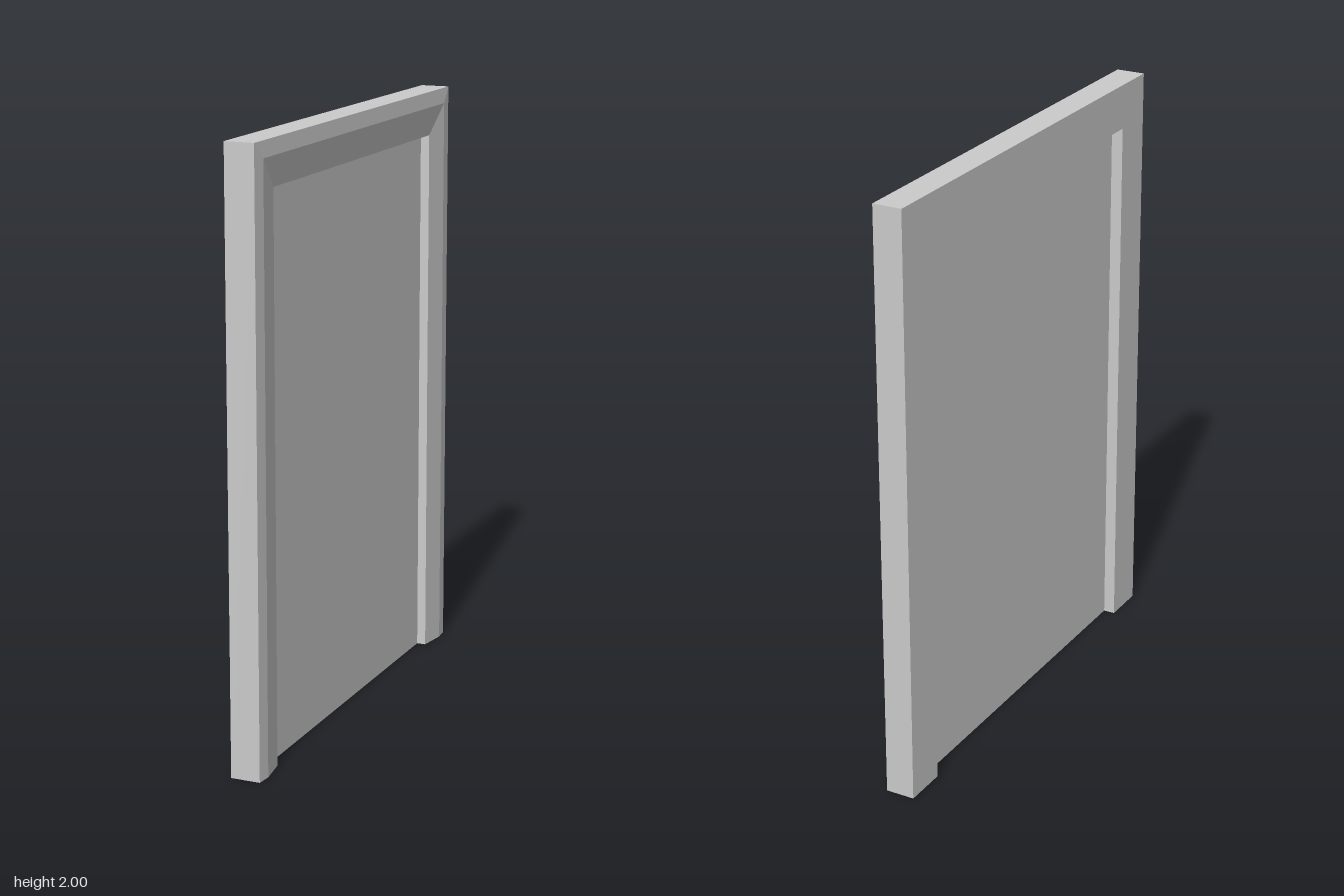
import * as THREE from 'three';

const HALF_WIDTH = 0.783, HEIGHT = 2;
// Moulding section: [inset from the outer edge, x], running outer back to inner back
const SECTION = [[0, -0.052], [0, 0.047], [0.052, 0.052], [0.152, 0.037], [0.152, -0.052]];

// Mitred door frame: the section carried up one jamb, across the head and down the other
function frameGeometry() {
  const stations = [[1, 0], [1, 1], [-1, 1], [-1, 0]];
  const rings = stations.map(([side, top]) => SECTION.map(([d, x]) =>
    [x, top ? HEIGHT - d : 0, side * (HALF_WIDTH - d)]));
  const n = SECTION.length;
  const positions = [];
  const tri = (a, b, c) => positions.push(...a, ...b, ...c);

  for (let i = 0; i < rings.length - 1; i++) {
    for (let j = 0; j < n; j++) {
      const k = (j + 1) % n;
      tri(rings[i][j], rings[i][k], rings[i + 1][k]);
      tri(rings[i][j], rings[i + 1][k], rings[i + 1][j]);
    }
  }
  // Feet of the two jambs
  const first = rings[0], last = rings[rings.length - 1];
  for (let j = 1; j < n - 1; j++) {
    tri(first[0], first[j + 1], first[j]);
    tri(last[0], last[j], last[j + 1]);
  }
  const geometry = new THREE.BufferGeometry();
  geometry.setAttribute('position', new THREE.Float32BufferAttribute(positions, 3));
  geometry.computeVertexNormals();
  return geometry;
}

export function createModel() {
  const group = new THREE.Group();
  group.name = 'door';
  const material = new THREE.MeshStandardMaterial({ color: 0xcccccc, flatShading: true });

  const frame = new THREE.Mesh(frameGeometry(), material);
  frame.name = 'doorFrame';
  group.add(frame);

  // Thin leaf set back from both faces, its edges housed in the frame
  const panel = new THREE.Mesh(new THREE.BoxGeometry(0.018, 1.87, 1.31), material);
  panel.name = 'doorPanel';
  panel.position.set(-0.003, 0.935, 0);
  group.add(panel);

  return group;
}
